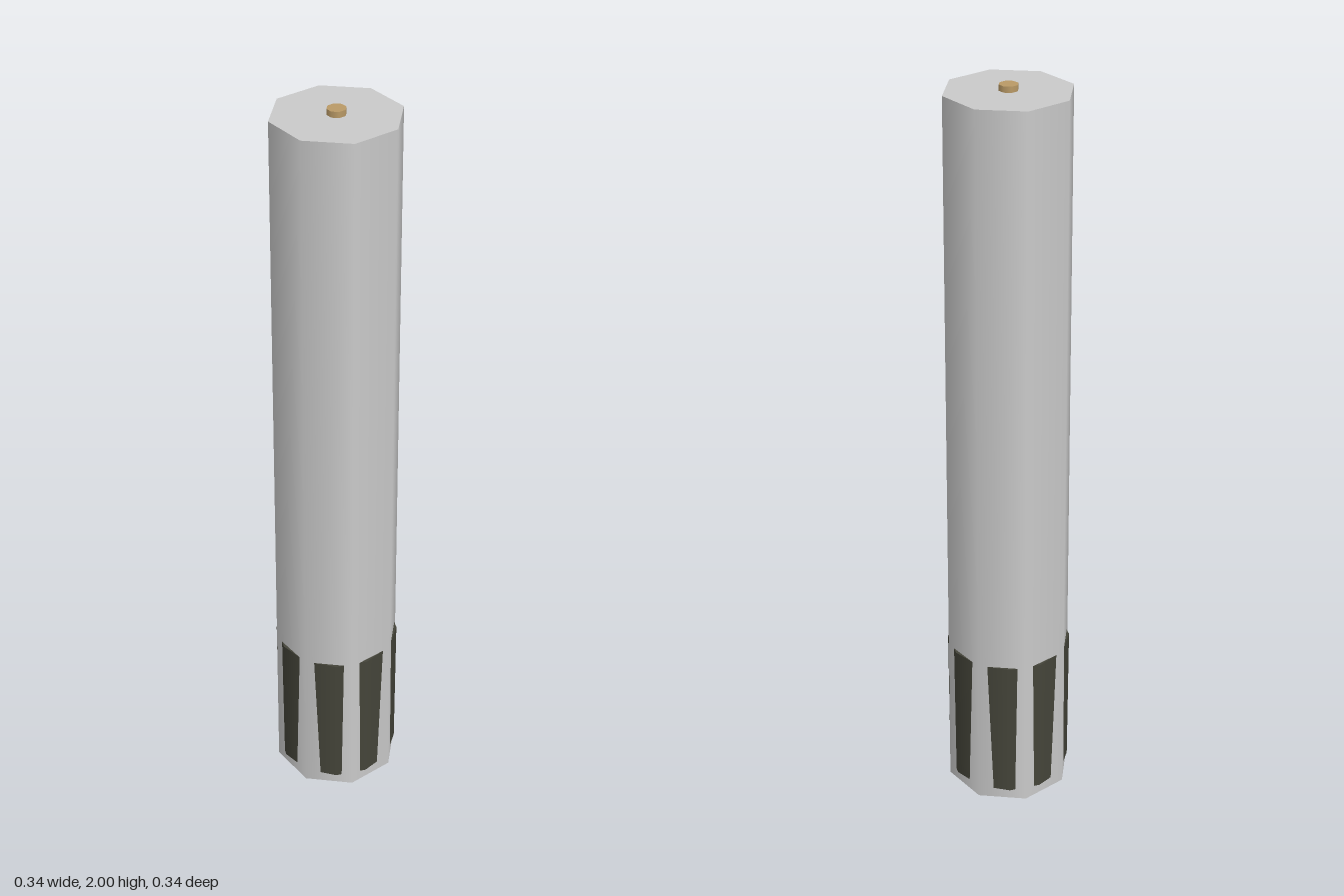
import * as THREE from 'three';

export function createModel() {
  const group = new THREE.Group();
  const paleGrey = new THREE.MeshStandardMaterial({ color: 0xcacaca });
  paleGrey.name = 'paleGrey';
  const darkOlive = new THREE.MeshStandardMaterial({ color: 0x444439 });
  darkOlive.name = 'darkOlive';
  const brass = new THREE.MeshStandardMaterial({ color: 0xba9a66 });
  brass.name = 'brass';

  // Upright cylinder running from y0 to y1
  function addCylinder(name, topR, bottomR, y0, y1, sides, material) {
    const mesh = new THREE.Mesh(
      new THREE.CylinderGeometry(topR, bottomR, y1 - y0, sides), material);
    mesh.position.y = (y0 + y1) / 2;
    mesh.name = name;
    group.add(mesh);
  }

  // Slightly tapered eight-sided body
  addCylinder('body', 0.161, 0.172, 0, 1.985, 8, paleGrey);

  // Twelve-sided sleeve that breaks through the body's flats as grip panels
  addCylinder('gripPanels', 0.1662, 0.1662, 0.03, 0.44, 12, darkOlive);

  // Small contact on the top face
  addCylinder('topContact', 0.024, 0.024, 1.965, 2, 8, brass);

  return group;
}
